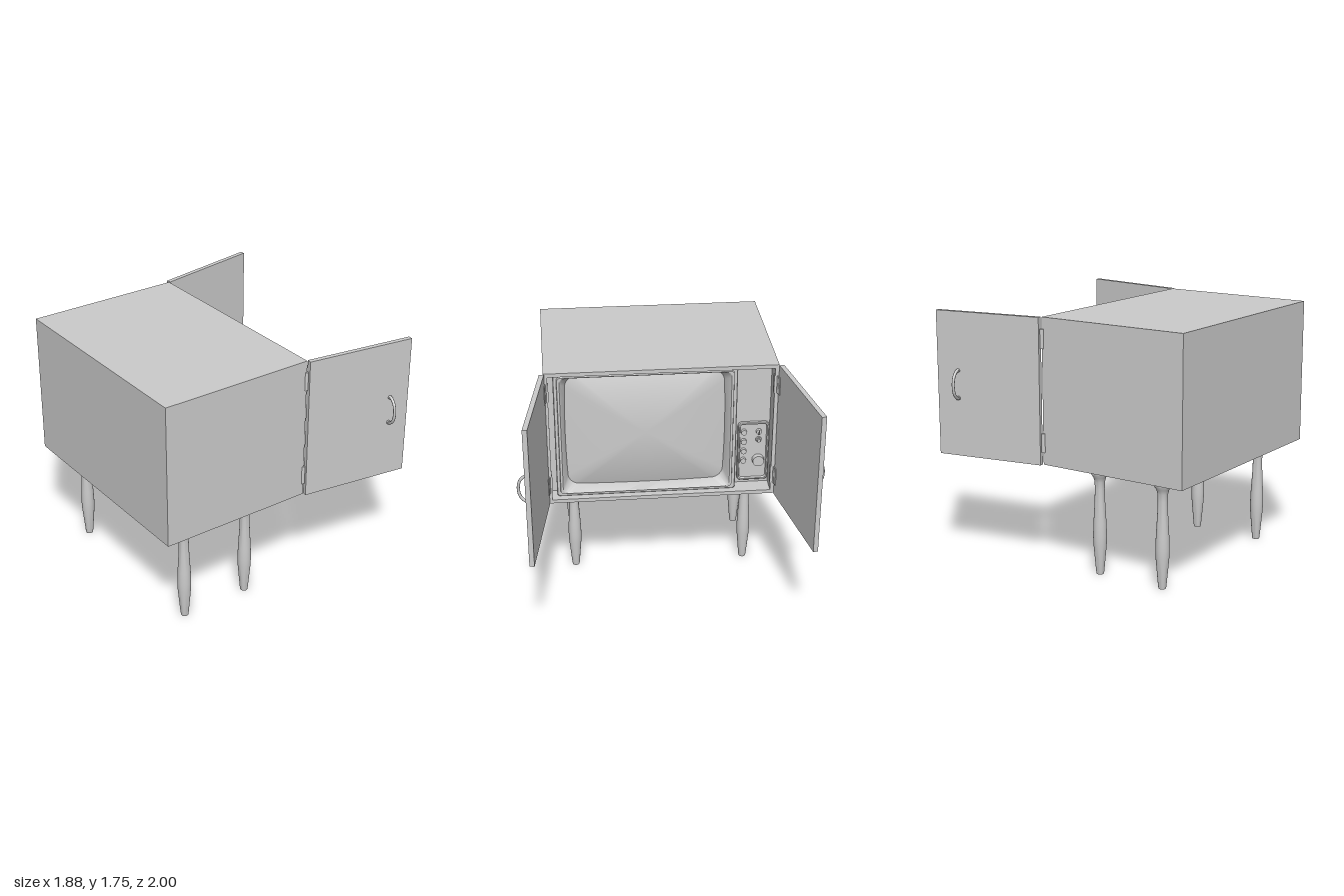
import * as THREE from 'three';
import { toCreasedNormals } from 'three/addons/utils/BufferGeometryUtils.js';

const grey = new THREE.MeshStandardMaterial({ color: 0xcccccc });

function add(parent, name, geometry, x = 0, y = 0, z = 0) {
  const mesh = new THREE.Mesh(geometry, grey);
  mesh.name = name;
  mesh.position.set(x, y, z);
  parent.add(mesh);
  return mesh;
}

// Rounded rectangle outline with a fixed point count; barrel bows the sides outward
function ring(hw, hh, r, barrel = 0) {
  const pts = [];
  const signs = [[1, 1], [-1, 1], [-1, -1], [1, -1]];
  signs.forEach(([sx, sy], c) => {
    for (let k = 0; k <= 8; k++) {
      const a = (c + k / 8) * Math.PI / 2;
      pts.push([sx * (hw - r) + r * Math.cos(a), sy * (hh - r) + r * Math.sin(a)]);
    }
    const [nx, ny] = signs[(c + 1) % 4];
    const a = (c + 1) * Math.PI / 2;
    const from = pts[pts.length - 1];
    const to = [nx * (hw - r) + r * Math.cos(a), ny * (hh - r) + r * Math.sin(a)];
    for (let k = 1; k < 8; k++) {
      pts.push([from[0] + (to[0] - from[0]) * k / 8, from[1] + (to[1] - from[1]) * k / 8]);
    }
  });
  return pts.map(([x, y]) => [
    x * (1 - barrel * (y / hh) ** 2), y * (1 - barrel * (x / hw) ** 2)]);
}

// Skin over successive outlines, each { pts, z }, running from outside to inside
function loft(rings, crease = 0.5) {
  const n = rings[0].pts.length;
  const pos = [], index = [];
  for (const { pts, z } of rings) for (const [x, y] of pts) pos.push(x, y, z);
  for (let i = 0; i < rings.length - 1; i++) {
    for (let j = 0; j < n; j++) {
      const a = i * n + j, b = i * n + (j + 1) % n;
      index.push(a, b, b + n, a, b + n, a + n);
    }
  }
  const g = new THREE.BufferGeometry();
  g.setAttribute('position', new THREE.Float32BufferAttribute(pos, 3));
  g.setIndex(index);
  return toCreasedNormals(g, crease);
}

const BOTTOM = 0.745, TOP = 1.745, MID = 1.245, WALL = 0.027;
const BACK = -0.94, FRONT = 0.155, HALF = 0.793, ZC = 0.005;

function buildCabinet() {
  const g = new THREE.Group();
  g.name = 'cabinet';
  const len = FRONT - BACK, cx = (FRONT + BACK) / 2;
  for (const [name, y] of [['cabinetTop', TOP - WALL / 2], ['cabinetBottom', BOTTOM + WALL / 2]]) {
    add(g, name, new THREE.BoxGeometry(len, WALL, HALF * 2), cx, y, ZC);
  }
  for (const s of [1, -1]) {
    add(g, 'cabinetSide', new THREE.BoxGeometry(len, 1 - WALL * 2, WALL), cx, MID, ZC + s * (HALF - WALL / 2));
  }
  add(g, 'cabinetBack', new THREE.BoxGeometry(WALL, 1 - WALL * 2, (HALF - WALL) * 2), BACK + WALL / 2, MID, ZC);
  return g;
}

// Screen and controls, built facing local +z and turned to face +x
function buildSet() {
  const g = new THREE.Group();
  g.name = 'television';
  g.rotation.y = Math.PI / 2;
  const P = 0.025;
  add(g, 'frontPanel', new THREE.BoxGeometry((HALF - WALL) * 2, 1 - WALL * 2, 0.02), -ZC, MID, P - 0.01);

  // Stepped surround with a funnel sloping in to the screen
  const sx = -0.11, edge = ring(0.553, 0.427, 0.075, 0.022);
  add(g, 'screenSurround', loft([
    { pts: ring(0.626, 0.472, 0.02), z: P },
    { pts: ring(0.626, 0.472, 0.02), z: 0.105 },
    { pts: ring(0.621, 0.467, 0.02), z: 0.11 },
    { pts: ring(0.602, 0.452, 0.025), z: 0.11 },
    { pts: ring(0.599, 0.449, 0.025), z: 0.122 },
    { pts: ring(0.583, 0.446, 0.04), z: 0.122 },
    { pts: ring(0.578, 0.442, 0.045), z: 0.117 },
    { pts: edge, z: 0.032 },
  ]), sx, MID);

  // Domed screen
  const dome = [];
  for (let i = 0; i <= 14; i++) {
    const s = Math.max(Math.cos(i / 14 * Math.PI / 2), 0.001);
    dome.push({ pts: edge.map(([x, y]) => [x * s, y * s]), z: 0.032 + 0.065 * (1 - s * s) });
  }
  add(g, 'screen', loft(dome, 1), sx, MID);

  // Control plate with a raised rim around a sunken face
  const cx = 0.647, cy = 1.028;
  add(g, 'controlRim', loft([
    { pts: ring(0.11, 0.228, 0.03), z: P },
    { pts: ring(0.11, 0.228, 0.03), z: P + 0.02 },
    { pts: ring(0.105, 0.223, 0.027), z: P + 0.025 },
    { pts: ring(0.097, 0.215, 0.022), z: P + 0.025 },
    { pts: ring(0.092, 0.21, 0.02), z: P + 0.01 },
    { pts: ring(0.0001, 0.0001, 0.00002), z: P + 0.01 },
  ]), cx, cy);

  const knob = (name, x, y, r, h, z0 = P + 0.01) => {
    const geo = new THREE.CylinderGeometry(r * 0.94, r, h, 28).rotateX(Math.PI / 2);
    add(g, name, geo, x, y, z0 + h / 2);
  };
  for (let i = 0; i < 4; i++) knob('button', 0.58, 1.182 - i * 0.075, 0.021, 0.022);
  knob('selectorKnob', 0.685, 1.182, 0.02, 0.02);
  add(g, 'selectorGrip', new THREE.BoxGeometry(0.006, 0.036, 0.012), 0.685, 1.182, P + 0.034);
  knob('toneKnob', 0.685, 1.118, 0.021, 0.014);
  knob('toneKnobCap', 0.685, 1.118, 0.012, 0.016, P + 0.024);
  knob('tuningKnob', 0.685, 0.957, 0.042, 0.035);
  return g;
}

// Door hinged at a front corner; s is the side in z
function buildDoor(s, angle, handleX) {
  const g = new THREE.Group();
  g.name = s > 0 ? 'leftDoor' : 'rightDoor';
  g.position.set(0.165, 0, ZC * 0.5 + s * 0.7875);
  g.rotation.y = -s * angle;
  const T = 0.033;
  add(g, 'doorPanel', new THREE.BoxGeometry(0.78, 1, T), 0.39, MID, s * T / 2);

  // Bowed pull handle with round feet
  const bow = [[0.1, 0], [0.095, 0.02], [0.06, 0.055], [0, 0.068], [-0.06, 0.055], [-0.095, 0.02], [-0.1, 0]];
  const path = new THREE.CatmullRomCurve3(bow.map(([y, d]) => new THREE.Vector3(handleX, MID + y, s * (T + d))));
  add(g, 'doorHandle', new THREE.TubeGeometry(path, 40, 0.01, 10));
  for (const y of [0.095, -0.095]) {
    add(g, 'handleFoot', new THREE.CylinderGeometry(0.014, 0.014, 0.012, 16).rotateX(Math.PI / 2),
      handleX, MID + y, s * (T + 0.005));
  }
  for (const y of [1.6, 0.895]) {
    add(g, 'doorHingeLeaf', new THREE.BoxGeometry(0.035, 0.13, 0.005), 0.016, y, -s * 0.002);
  }
  return g;
}

function buildHinges(s) {
  const g = new THREE.Group();
  g.name = 'hinges';
  for (const y of [1.6, 0.895]) {
    add(g, 'hingeKnuckle', new THREE.CylinderGeometry(0.014, 0.014, 0.13, 16), 0.154, y, ZC * 0.5 + s * 0.791);
    add(g, 'cabinetHingeLeaf', new THREE.BoxGeometry(0.03, 0.13, 0.006), 0.14, y, ZC + s * (HALF - WALL - 0.002));
  }
  return g;
}

export function createModel() {
  const model = new THREE.Group();
  model.name = 'televisionCabinet';
  model.add(buildCabinet(), buildSet());
  model.add(buildDoor(1, 0.15, 0.635), buildDoor(-1, 0.178, 0.62));
  model.add(buildHinges(1), buildHinges(-1));

  // Turned legs
  const profile = [[0, 0], [0.025, 0], [0.028, 0.02], [0.037, 0.12], [0.045, 0.21], [0.047, 0.27], [0.044, 0.36],
    [0.036, 0.5], [0.033, 0.6], [0.035, 0.65], [0.043, 0.68], [0.057, 0.7], [0.059, 0.715], [0.055, 0.724],
    [0.049, 0.724], [0.049, 0.746]].map(([r, y]) => new THREE.Vector2(r, y));
  const leg = toCreasedNormals(new THREE.LatheGeometry(profile, 24), 0.6);
  for (const x of [-0.698, -0.196]) {
    for (const z of [0.617, -0.634]) add(model, 'leg', leg, x, 0, z);
  }
  return model;
}
